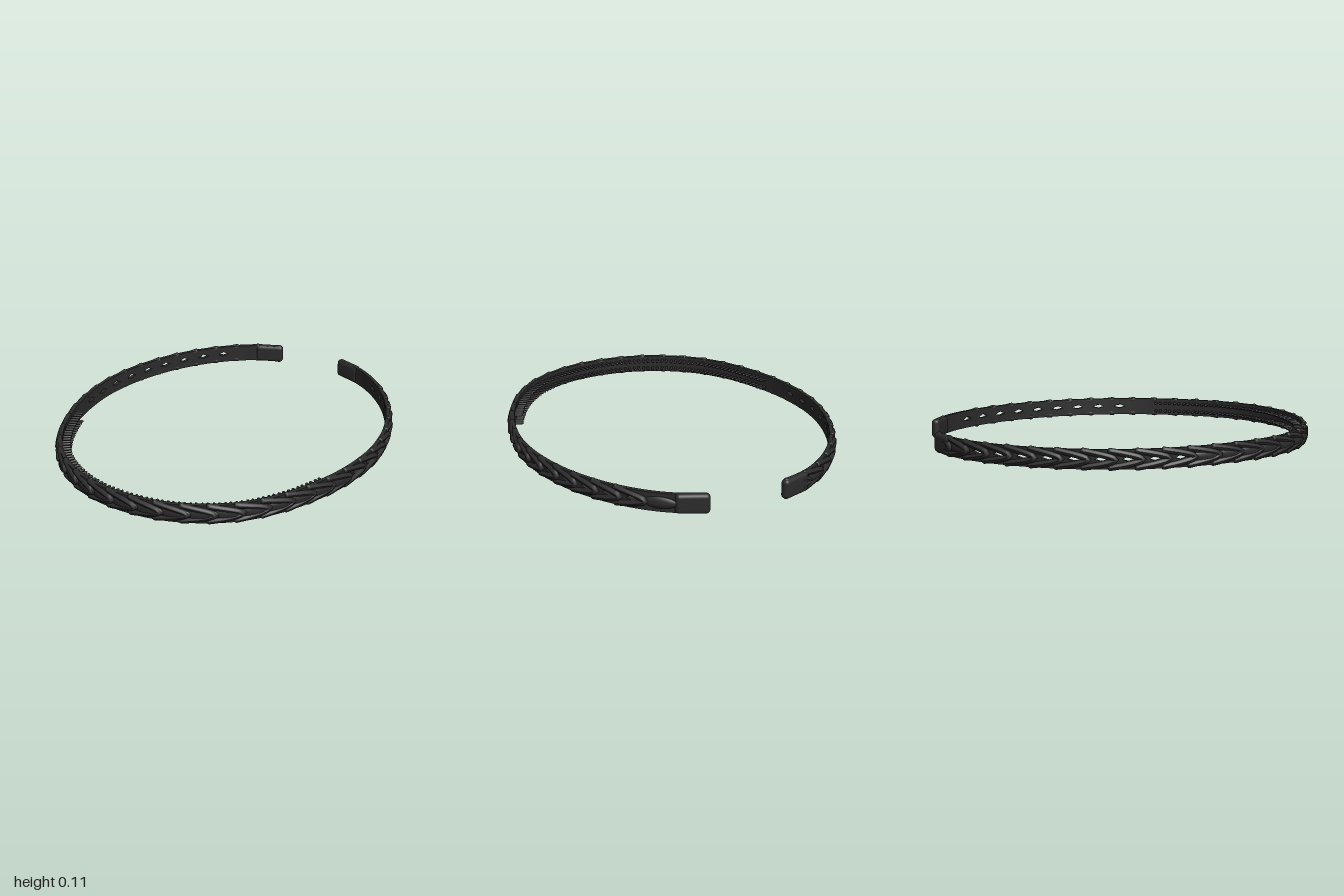
import * as THREE from 'three';
import { mergeVertices } from 'three/addons/utils/BufferGeometryUtils.js';
import { RoundedBoxGeometry } from 'three/addons/geometries/RoundedBoxGeometry.js';

const MID = 0.055;     // mid height of the band
const PITCH = 0.125;   // spacing of the braid scales

// Inner line of the band: left half is the mirror of the right half
const half = [
  [0, 0.945], [0.18, 0.925], [0.34, 0.865], [0.5, 0.755], [0.63, 0.59], [0.72, 0.4],
  [0.775, 0.22], [0.803, 0], [0.795, -0.15], [0.765, -0.3], [0.69, -0.5],
  [0.58, -0.68], [0.45, -0.82], [0.33, -0.905], [0.18, -0.965],
];
const points = [
  ...half.slice(1).reverse().map(([x, z]) => new THREE.Vector3(-x, 0, z)),
  ...half.map(([x, z]) => new THREE.Vector3(x, 0, z)),
];
const path = new THREE.CatmullRomCurve3(points);
path.arcLengthDivisions = 1500;
const L = path.getLength();

// Bend a flat geometry (x along the band, y up, z outward) round the path
function bend(geometry) {
  const p = geometry.attributes.position;
  for (let i = 0; i < p.count; i++) {
    const u = THREE.MathUtils.clamp(p.getX(i) / L, 0, 1);
    const c = path.getPointAt(u), t = path.getTangentAt(u), o = p.getZ(i);
    p.setXYZ(i, c.x - t.z * o, p.getY(i), c.z + t.x * o);
  }
  geometry.computeVertexNormals();
  return geometry;
}

export function createModel() {
  const group = new THREE.Group();
  const black = new THREE.MeshStandardMaterial({ color: 0x2b2b2b });
  black.name = 'black plastic';
  const add = (geometry, name, parent = group) => {
    const mesh = new THREE.Mesh(bend(geometry), black);
    mesh.name = name;
    parent.add(mesh);
  };
  const subgroup = (name) => {
    const g = new THREE.Group();
    g.name = name;
    group.add(g);
    return g;
  };

  // Small openings lie along both sides, between the scales
  const isOpen = (s) => {
    const z = path.getPointAt(s / L).z;
    return z < 0.24 && z > -0.8;
  };
  const openings = [];
  for (let k = -25; k <= 25; k++) {
    const s = L / 2 + k * PITCH;
    if (s > 0.2 && s < L - 0.12) openings.push({ s, open: isOpen(s) });
  }
  const gap = (s, up) => {
    const hole = openings.find((h) => h.open && Math.abs(h.s - s) < 0.032);
    return hole ? (up ? 0.016 : 0.009) * (1 - Math.abs(hole.s - s) / 0.032) : 0;
  };

  // Inner strip: two rails that part at each opening
  for (const up of [false, true]) {
    const rail = new THREE.BoxGeometry(L - 0.06, 1, 0.02, 900, 1, 1);
    rail.translate(L / 2, 0, 0.01);
    const p = rail.attributes.position;
    for (let i = 0; i < p.count; i++) {
      const inner = (p.getY(i) > 0) !== up;
      const d = inner ? gap(p.getX(i), up) : 0.047;
      p.setY(i, MID + (up ? d : -d));
    }
    add(rail, up ? 'upperRail' : 'lowerRail');
  }

  // Braid: overlapping pointed arches, with a raised leaf where there is no opening
  const braid = subgroup('braid');
  for (const { s, open } of openings) {
    const tip = s - 0.06;
    const arch = [];
    for (let i = 0; i <= 8; i++) {
      const v = i / 4 - 1;
      const back = Math.pow(Math.abs(v), 1.6);
      arch.push(new THREE.Vector3(-0.15 * back, MID + 0.039 * v, 0.024 - 0.011 * back));
    }
    const strand = new THREE.TubeGeometry(new THREE.CatmullRomCurve3(arch), 24, 0.0155, 10);
    strand.translate(tip, 0, 0);
    add(strand, 'braidStrand', braid);
    // rounded ends of the strand
    for (const end of [arch[0], arch[8]]) {
      const ball = new THREE.SphereGeometry(0.0155, 10, 8);
      ball.translate(tip + end.x, end.y, end.z);
      add(ball, 'strandEnd', braid);
    }
    if (!open) {
      const leaf = new THREE.SphereGeometry(1, 20, 12);
      leaf.scale(0.085, 0.03, 0.016);
      leaf.rotateY(-0.1);
      leaf.translate(s, MID, 0.018);
      add(leaf, 'braidLeaf', braid);
    }
  }

  // Smooth rounded pads at the two free ends
  for (const left of [false, true]) {
    let pad = new RoundedBoxGeometry(0.16, 0.1, 0.044, 4, 0.02);
    pad.deleteAttribute('uv');
    pad.deleteAttribute('normal');
    pad = mergeVertices(pad, 1e-5);
    pad.translate(left ? L - 0.08 : 0.08, MID, 0.014);
    add(pad, left ? 'leftEndPad' : 'rightEndPad');
  }

  // Comb teeth inside the front: clusters of short prongs in two rows
  const teeth = subgroup('combTeeth');
  for (let k = -18; k <= 18; k++) {
    const s = L / 2 + k * 0.0565;
    for (const ds of [-0.013, 0.013]) {
      for (const y of [0.032, 0.078]) {
        const tooth = new THREE.CapsuleGeometry(0.0075, 0.04, 3, 8);
        tooth.rotateX(Math.PI / 2);
        tooth.translate(s + ds, y, -0.016);
        add(tooth, 'tooth', teeth);
      }
    }
  }

  return group;
}
